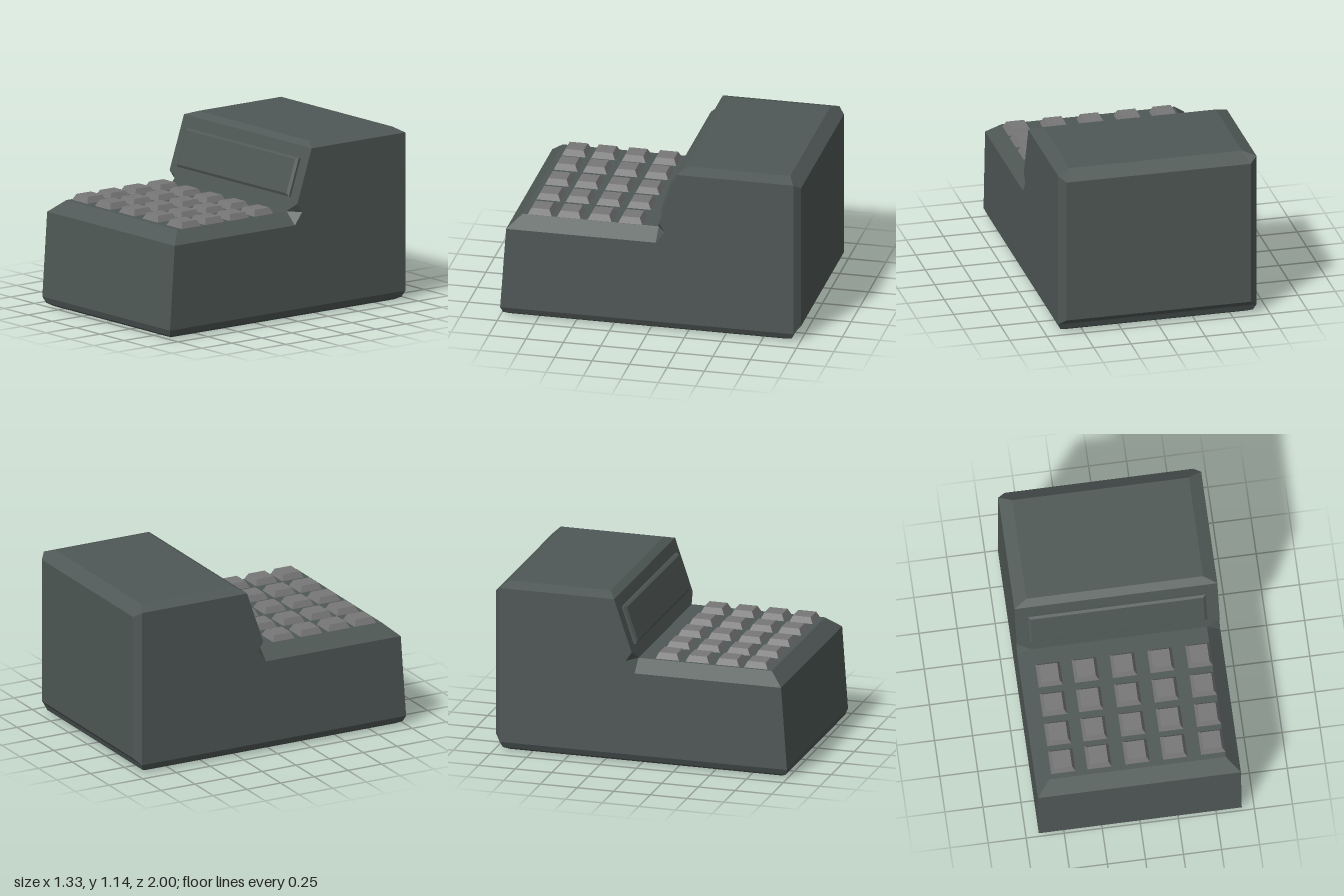
import * as THREE from 'three';

const bodyMat = new THREE.MeshStandardMaterial({ color: 0x4f5856, side: THREE.DoubleSide, flatShading: true });
const keyMat = new THREE.MeshStandardMaterial({ color: 0x777777, side: THREE.DoubleSide, flatShading: true });

// Skin successive rows of points; optionally close each row and cap the last (four-point) row.
function loft(rows, closed = false, cap = false) {
  const pos = [];
  const tri = (a, b, c) => {
    const [A, B, C] = [a, b, c].map(p => new THREE.Vector3(...p));
    if (B.sub(A).cross(C.sub(A)).length() > 1e-8) pos.push(...a, ...b, ...c);
  };
  const quad = (a, b, c, d) => { tri(a, b, c); tri(a, c, d); };
  for (let k = 0; k < rows.length - 1; k++) {
    const lo = rows[k], hi = rows[k + 1], n = lo.length;
    for (let j = 0; j < (closed ? n : n - 1); j++) {
      quad(lo[j], lo[(j + 1) % n], hi[(j + 1) % n], hi[j]);
    }
  }
  if (cap) quad(...rows[rows.length - 1]);
  const geo = new THREE.BufferGeometry();
  geo.setAttribute('position', new THREE.Float32BufferAttribute(pos, 3));
  geo.computeVertexNormals();
  return geo;
}

// Horizontal rectangle, starting at the front and running round to the back
const rect = (hx, y, z0, z1) => [[-hx, y, z0], [hx, y, z0], [hx, y, z1], [-hx, y, z1]];

function add(parent, name, geo, mat) {
  const mesh = new THREE.Mesh(geo, mat);
  mesh.name = name;
  parent.add(mesh);
  return mesh;
}

export function createModel() {
  const group = new THREE.Group();
  group.name = 'cashRegister';
  const W = 0.667;

  // Casing skin: each station is [side z, side y, inner x, inner z, inner y]
  const stations = [
    [1, 0.06, 0.58, 1, 0.06],
    [0.96, 0.62, 0.58, 0.96, 0.62],
    [0.96, 0.62, 0.58, 0.87, 0.7],
    [-0.04, 0.62, 0.58, -0.04, 0.7],
    [-0.1, 0.7, 0.58, -0.04, 0.7],
    [-0.06, 0.76, 0.62, -0.053, 0.74],
    [-0.18, 1.115, 0.58, -0.18, 1.115],
    [-0.18, 1.115, 0.58, -0.23, 1.145],
    [-0.96, 1.115, 0.58, -0.92, 1.145],
    [-0.96, 1.115, 0.62, -1, 1.08],
    [-0.96, 0.06, 0.62, -1, 0.1],
    [-0.96, 0.06, 0.62, -0.96, 0.06],
  ];
  add(group, 'casing', loft(stations.map(([sz, sy, ix, iz, iy]) =>
    [[-W, sy, sz], [-ix, iy, iz], [ix, iy, iz], [W, sy, sz]])), bodyMat);

  // Flat side walls
  const outline = stations
    .filter((s, i) => !i || s[0] !== stations[i - 1][0] || s[1] !== stations[i - 1][1])
    .map(s => new THREE.Vector2(-s[0], s[1]));
  const wall = new THREE.ShapeGeometry(new THREE.Shape(outline));
  wall.rotateY(Math.PI / 2).translate(W, 0, 0);
  add(group, 'leftWall', wall, bodyMat);
  add(group, 'rightWall', wall, bodyMat).scale.x = -1;

  // Bevelled lip round the open underside
  add(group, 'bottomLip', loft([
    rect(W - 0.055, 0, 0.95, -0.91),
    rect(W - 0.02, 0.02, 0.985, -0.945),
    rect(W, 0.06, 1, -0.96),
  ], true), bodyMat);

  // Raised display on the sloping face
  const display = add(group, 'display', loft([
    rect(0.585, 0, 0.131, -0.131),
    rect(0.585, 0.016, 0.131, -0.131),
    rect(0.567, 0.028, 0.115, -0.115),
  ], true, true), bodyMat);
  display.position.set(0, 0.915, -0.112);
  display.rotation.x = 1.245;

  // Hollow keys, reaching down through the deck
  const keyGeo = loft([
    rect(0.08, 0.57, 0.08, -0.08),
    rect(0.08, 0.7, 0.08, -0.08),
    rect(0.06, 0.74, 0.06, -0.06),
  ], true, true);
  const keys = new THREE.Group();
  keys.name = 'keys';
  group.add(keys);
  for (const x of [-0.483, -0.245, 0.005, 0.252, 0.502]) {
    for (const z of [0.15, 0.355, 0.56, 0.755]) {
      add(keys, 'key', keyGeo, keyMat).position.set(x, 0, z);
    }
  }
  return group;
}
